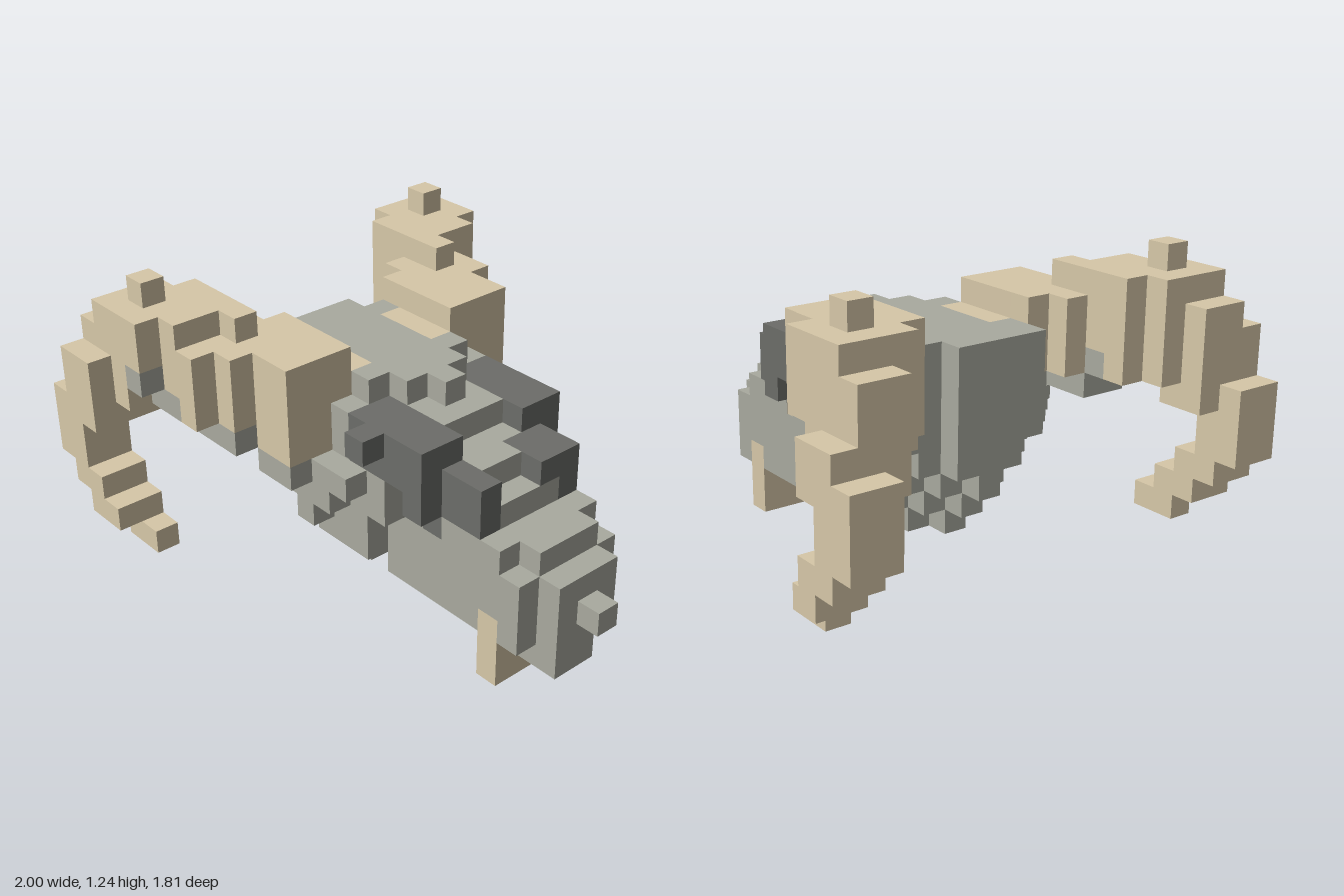
import * as THREE from 'three';
import { mergeGeometries } from 'three/addons/utils/BufferGeometryUtils.js';

// Block size; i runs along x, j up y, k along z from the middle plane
const S = 2 / 21;

const bone = new THREE.MeshStandardMaterial({ color: 0xa9aa9f });
bone.name = 'grey bone';
const horn = new THREE.MeshStandardMaterial({ color: 0xd7c8a8 });
horn.name = 'tan horn';
const socket = new THREE.MeshStandardMaterial({ color: 0x6c6d69 });
socket.name = 'dark socket';

const cells = new Map();
const key = (i, j, k) => `${i},${j},${k}`;

// Fill a box of blocks; side -1 mirrors it, later parts replace earlier ones
function fill(part, i0, i1, j0, j1, k0, k1, side = 1) {
  for (let i = i0; i <= i1; i++)
    for (let j = j0; j <= j1; j++)
      for (let k = k0; k <= k1; k++)
        cells.set(key(i, j, k * side), { i, j, k: k * side, part });
}

// Box centred on the middle plane, w blocks to each side
const slab = (part, i0, i1, j0, j1, w) => fill(part, i0, i1, j0, j1, -w, w);

// Cranium strip: its back end retreats downwards and outwards
function strip(k, end, j0, j1, side) {
  const limit = k > 2 || (k > 1 && side < 0) ? 6 : 5;
  for (let j = j0; j <= j1; j++)
    fill('skull', Math.max(limit, 9 - j + k), end, j, j, k, k, side);
}

function buildSkull() {
  // Cranium core with flared cheeks
  for (const side of [-1, 1]) {
    strip(0, 11, 2, 9, side);
    strip(1, 11, 2, 9, side);
    strip(2, 10, 2, 9, side);
    strip(3, 11, 3, 7, side);
    strip(3, 10, 8, 8, side);
    strip(4, 10, 5, 6, side);
    strip(5, 9, 6, 6, side);
  }
  slab('skull', 11, 11, 3, 8, 2);
  slab('skull', 12, 12, 5, 6, 3);
  strip(4, 9, 4, 4, 1);
  fill('skull', 11, 11, 6, 6, 4, 4);

  // Snout: ridge sloping down to the nose tip, wider muzzle, lower jaw
  for (let j = 2; j <= 9; j++) {
    const end = j < 5 ? 19 : Math.floor(25.5 - 1.5 * j);
    slab('snout', 12, end, j, j, j > 8 ? 0 : 1);
  }
  slab('snout', 12, 18, 2, 4, 2);
  slab('snout', 12, 17, 5, 5, 2);
  slab('snout', 20, 20, 3, 3, 0);
  fill('snout', 15, 19, 1, 1, 0, 1);
}

function buildSide(name, side) {
  const put = (part, ...box) => fill(part, ...box, side);
  const hornName = name + 'Horn', eye = name + 'EyeSocket', tooth = name + 'Tooth';

  // Horn arm: columns sweep outwards and back
  const back = [6, 5, 3, 2, 1, 1], front = [9, 9, 9, 7, side > 0 ? 6 : 5, 4];
  back.forEach((b, n) => {
    const k = n + 3;
    put(hornName, b, front[n], 9, 10, k, k);
    put(hornName, b, k === 8 ? 3 : front[n], 8, 8, k, k);
  });
  put(hornName, 7, 9, 9, 9, 2, 2);
  put(hornName, 8, 9, 7, 7, 4, 5);

  // Crest on the arm
  [6, 5, 5, 4].forEach((end, n) => put(hornName, Math.max(2, 3 - n), end, 11, 11, n + 5, n + 5));
  put(hornName, 3, 3, 12, 12, 7, 7);

  // Outer shoulder, then the tip drooping and curling forward
  put(hornName, 1, 2, 7, side > 0 ? 9 : 8, 7, 9);
  for (let j = 2; j <= 7; j++) {
    const b = Math.max(0, 5 - j);
    put(hornName, b, b + 1, j, j, 8, 8);
    if (j > 2) put(hornName, b, j === 3 && side < 0 ? b : b + 1, j, j, 9, 9);
  }

  // Grey underside of the arm
  put('skull', 5, 7, 7, 7, 5, 6);
  put('skull', 4, 5, 8, 8, 5, 7);
  if (side > 0) put('skull', 4, 4, 9, 9, 8, 8);

  // Eye socket: brow, recess and front corner
  put(eye, 11, 14, 7, 8, 2, 3);
  put(eye, 14, 14, 5, 5, 2, 2);
  put(eye, 14, 14, 6, 6, 2, 3);
  put(eye, 15, 16, 6, 7, 2, 2);
  if (side > 0) put(eye, 12, 12, 8, 8, 4, 4);
  else put(eye, 15, 16, 7, 7, 1, 1);

  // Tooth
  put(tooth, 17, 17, 0, 0, 1, 2);
  put(tooth, 17, 17, 1, 2, 2, 2);
  if (side < 0) put(tooth, 17, 17, 1, 1, 1, 1);
}

export function createModel() {
  cells.clear();
  buildSkull();
  buildSide('left', 1);
  buildSide('right', -1);

  // One outward square for each side of a block
  const sides = [];
  for (let n = 0; n < 4; n++) {
    const square = new THREE.PlaneGeometry(S, S).translate(0, 0, S / 2);
    sides.push(square.rotateY(n * Math.PI / 2));
  }
  for (const turn of [-1, 1]) {
    const square = new THREE.PlaneGeometry(S, S).translate(0, 0, S / 2);
    sides.push(square.rotateX(turn * Math.PI / 2));
  }

  // Keep only the exposed sides, gathered by part
  const parts = {};
  for (const { i, j, k, part } of cells.values()) {
    for (const square of sides) {
      const n = square.attributes.normal;
      const [x, y, z] = [n.getX(0), n.getY(0), n.getZ(0)].map(Math.round);
      if (cells.has(key(i + x, j + y, k + z))) continue;
      (parts[part] ??= []).push(
        square.clone().translate((i - 10) * S, (j + 0.5) * S, k * S));
    }
  }

  const group = new THREE.Group();
  group.name = 'hornedSkull';
  for (const [name, faces] of Object.entries(parts)) {
    const material = /Horn|Tooth/.test(name) ? horn : /Socket/.test(name) ? socket : bone;
    const mesh = new THREE.Mesh(mergeGeometries(faces), material);
    mesh.name = name;
    group.add(mesh);
  }
  return group;
}
